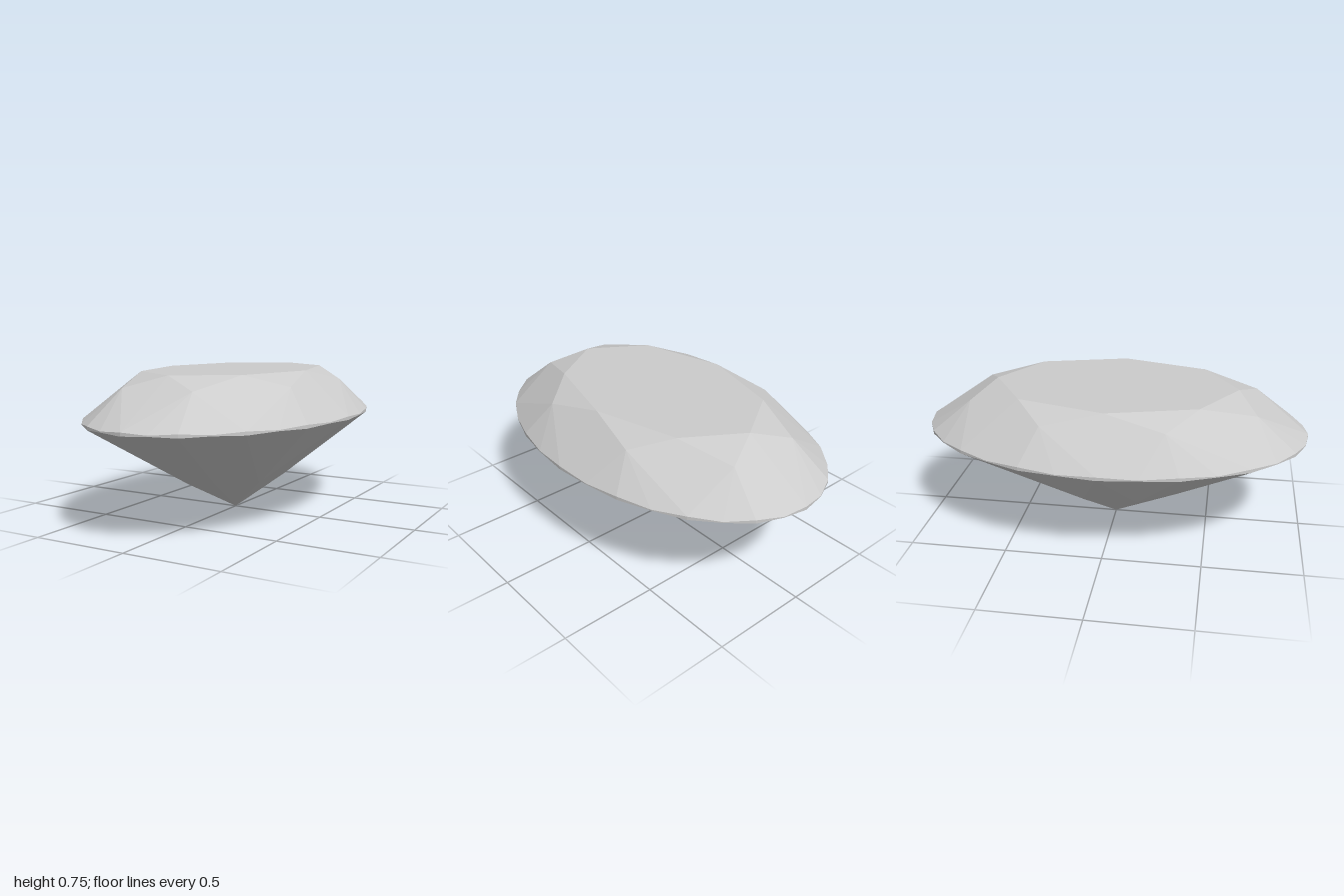
import * as THREE from 'three';

const HALF_WIDTH = 0.645; // x radius of the oval, z radius is 1

// Point on an oval ring: step counts 1/32 turns from the front
function at(radius, step, y) {
  const a = (step / 32) * Math.PI * 2;
  return [Math.sin(a) * radius * HALF_WIDTH, y, Math.cos(a) * radius];
}

// Flat mesh from convex polygons, corners counter-clockwise from outside
function facetMesh(name, polygons, material) {
  const pos = [];
  for (const p of polygons)
    for (let i = 1; i < p.length - 1; i++) pos.push(...p[0], ...p[i], ...p[i + 1]);
  const geometry = new THREE.BufferGeometry();
  geometry.setAttribute('position', new THREE.Float32BufferAttribute(pos, 3));
  geometry.computeVertexNormals();
  const mesh = new THREE.Mesh(geometry, material);
  mesh.name = name;
  return mesh;
}

export function createModel() {
  const group = new THREE.Group();
  group.name = 'ovalGem';
  const material = new THREE.MeshStandardMaterial({ color: 0xcccccc, flatShading: true });

  // Ring points; the girdle is scalloped, thin midway between facet corners
  const tablePt = (s) => at(0.635, s, 0.755);
  const starPt = (s) => at(0.79, s, 0.695);
  const upper = (s) => at(1, s, s % 2 ? 0.527 : 0.534);
  const lower = (s) => at(1, s, s % 2 ? 0.522 : 0.516);
  const lowPt = (s) => at(0.37, s, 0.178);
  const culet = [0, 0, 0];

  const table = [], stars = [], crownMains = [], upperHalves = [];
  const girdle = [], lowerHalves = [], pavilionMains = [];

  for (let k = 0; k < 32; k += 4) table.push(tablePt(k));

  for (let k = 0; k < 32; k += 4) {
    const m = k + 2; // star direction, between two main facets
    stars.push([tablePt(k), starPt(m), tablePt(k + 4)]);
    crownMains.push([tablePt(k), starPt(k - 2), upper(k), starPt(m)]);
    pavilionMains.push([culet, lowPt(m), lower(k), lowPt(k - 2)]);
    // Half facets fan from the inner point to the girdle
    for (let s = k; s < k + 4; s += 2) {
      upperHalves.push([starPt(m), upper(s), upper(s + 1), upper(s + 2)]);
      lowerHalves.push([lowPt(m), lower(s + 2), lower(s + 1), lower(s)]);
    }
  }
  for (let s = 0; s < 32; s++)
    girdle.push([lower(s), lower(s + 1), upper(s + 1), upper(s)]);

  group.add(
    facetMesh('table', [table], material),
    facetMesh('starFacets', stars, material),
    facetMesh('crownMainFacets', crownMains, material),
    facetMesh('upperHalfFacets', upperHalves, material),
    facetMesh('girdle', girdle, material),
    facetMesh('lowerHalfFacets', lowerHalves, material),
    facetMesh('pavilionMainFacets', pavilionMains, material),
  );
  return group;
}
